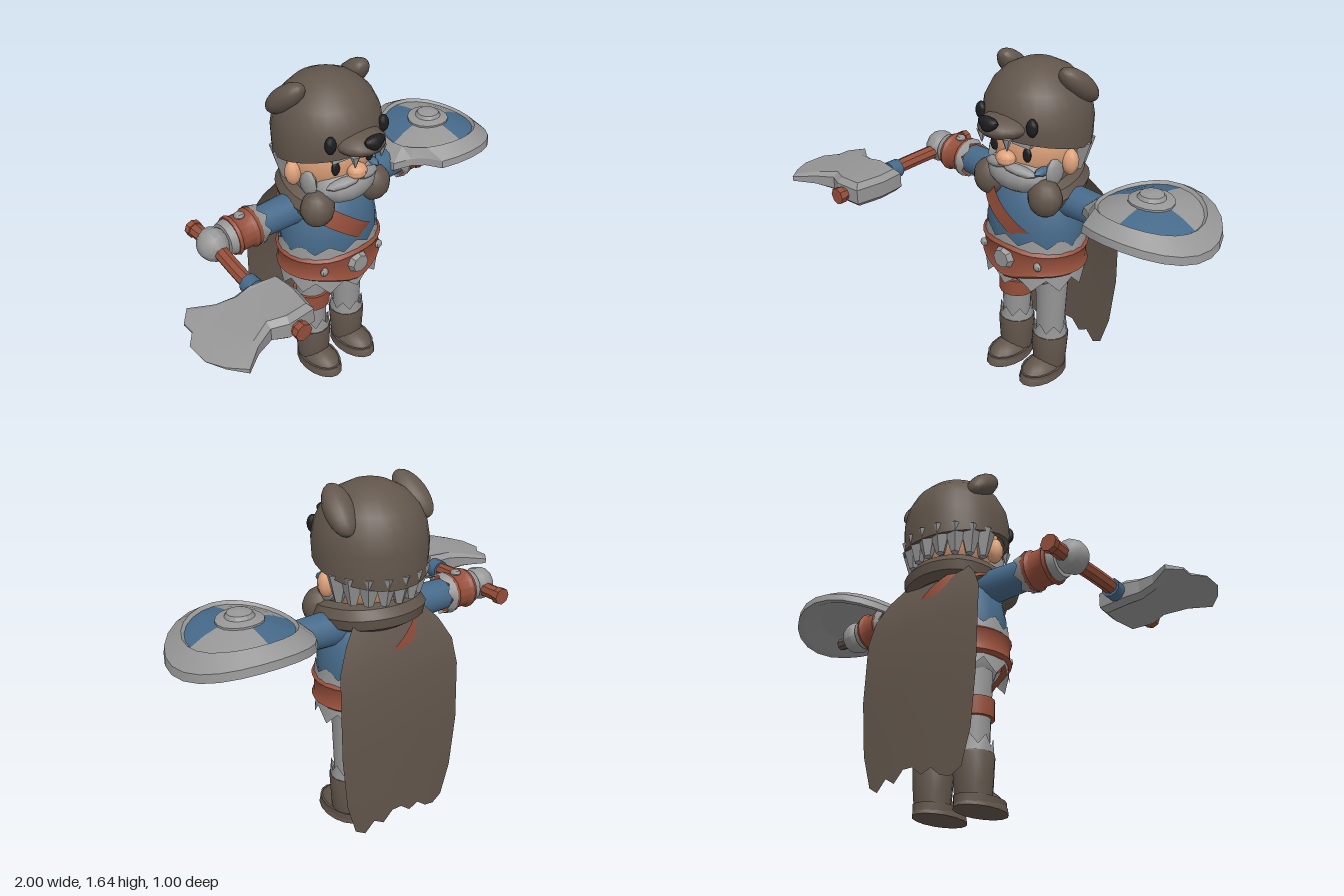
import * as THREE from 'three';
import { toCreasedNormals } from 'three/addons/utils/BufferGeometryUtils.js';

const mat = (name, color, side = THREE.FrontSide) =>
  Object.assign(new THREE.MeshStandardMaterial({ color, side }), { name });

export function createModel() {
  const root = new THREE.Group();
  root.name = 'axeWarrior';
  const brown = mat('furBrown', 0x62564c, THREE.DoubleSide);
  const grey = mat('grey', 0x979797, THREE.DoubleSide);
  const blue = mat('clothBlue', 0x466a8a);
  const red = mat('leather', 0x964f3b, THREE.DoubleSide);
  const skin = mat('skin', 0xdfa27b);
  const black = mat('black', 0x1d1d1f);
  const CX = 0.05, CZ = -0.2; // body axis

  const add = (name, geo, m, x = 0, y = 0, z = 0, parent = root, crease = 0.7) => {
    const mesh = new THREE.Mesh(toCreasedNormals(geo, crease), m);
    mesh.name = name;
    mesh.position.set(x, y, z);
    parent.add(mesh);
    return mesh;
  };
  const cyl = (a, b, h, n = 16, open = false) => new THREE.CylinderGeometry(a, b, h, n, 1, open);
  const ball = (rx, ry, rz, n = 16) => new THREE.SphereGeometry(1, n, Math.ceil(n * 0.7)).scale(rx, ry, rz);
  const lathe = (pts, n = 24, start = 0, len = Math.PI * 2) =>
    new THREE.LatheGeometry(pts.map(p => new THREE.Vector2(...p)), n, start, len);
  const warp = (geo, rule) => {
    const p = geo.attributes.position, v = new THREE.Vector3();
    for (let i = 0; i < p.count; i++) {
      rule(v.fromBufferAttribute(p, i), i);
      p.setXYZ(i, v.x, v.y, v.z);
    }
    return geo;
  };
  // ring of pointed cloth; the teeth hang down or stand up
  const zigzag = (rTop, rBottom, h, teeth, up = false) => {
    const row = teeth * 2 + 1;
    return warp(cyl(rTop, rBottom, h, teeth * 2, true), (v, i) => {
      const top = i < row;
      if (top === up && (i % row) % 2) v.y *= -0.05;
    });
  };

  // legs and boots
  for (const s of [-1, 1]) {
    const leg = new THREE.Group();
    leg.name = s < 0 ? 'rightLeg' : 'leftLeg';
    leg.position.set(CX + s * 0.113, 0, CZ);
    root.add(leg);
    add('trouser', cyl(0.083, 0.066, 0.42), grey, 0, 0.4, 0, leg);
    add('trouserCuff', zigzag(0.082, 0.088, 0.09, 7, true), grey, 0, 0.265, 0, leg);
    add('bootShaft', lathe([[0.08, 0.05], [0.085, 0.1], [0.092, 0.225], [0.09, 0.235], [0.06, 0.235]], 16), brown, 0, 0, 0, leg);
    const foot = warp(ball(0.092, 0.1, 0.15), v => { v.y = Math.max(v.y, 0); });
    add('bootFoot', foot, brown, 0, 0.0, 0.05, leg);
    add('bootSole', cyl(0.09, 0.088, 0.05).scale(1, 1, 1.6), brown, 0, 0.025, 0.045, leg);
    if (s < 0) add('thighStrap', cyl(0.092, 0.09, 0.085), red, 0, 0.435, 0, leg);
  }

  // torso, hem and belt
  add('pelvis', lathe([[0, 0.48], [0.1, 0.5], [0.17, 0.56], [0.21, 0.66], [0.2, 0.72]]).scale(1, 1, 0.85), grey, CX, 0, CZ);
  add('tunic', lathe([[0.23, 0.66], [0.25, 0.78], [0.25, 0.87], [0.23, 0.97], [0.19, 1.04], [0.12, 1.09], [0, 1.1]]).scale(1, 1, 0.8), blue, CX, 0, CZ);
  add('hemBelow', zigzag(0.25, 0.26, 0.12, 11).scale(1, 1, 0.84), grey, CX, 0.625, CZ);
  add('hemAbove', zigzag(0.255, 0.262, 0.08, 11, true).scale(1, 1, 0.83), grey, CX, 0.8, CZ);
  const belt = lathe([[0.22, 0.65], [0.255, 0.645], [0.272, 0.66], [0.262, 0.68], [0.262, 0.74], [0.272, 0.76], [0.255, 0.775], [0.22, 0.77]], 32);
  warp(belt, v => {
    const swell = v.z > 0 ? Math.exp(-Math.pow(v.x / 0.11, 2)) : 0;
    v.y += swell * (v.y < 0.71 ? -0.04 : 0.015);
    v.z *= 0.84;
  });
  add('belt', belt, red, CX, 0, CZ);
  add('buckle', cyl(0.045, 0.058, 0.03, 8).rotateX(Math.PI / 2), grey, CX, 0.715, 0.03);
  for (const s of [-1, 1]) add('beltStud', ball(0.022, 0.022, 0.015, 8), grey, CX + s * 0.17, 0.71, -0.022);
  const strap = add('chestStrap', cyl(0.258, 0.258, 0.085, 28, true).scale(1, 1, 0.82), red, CX - 0.02, 0.92, CZ);
  strap.rotation.z = -0.65;

  // arms, built outwards along local y
  for (const s of [-1, 1]) {
    const arm = new THREE.Group();
    arm.name = s < 0 ? 'rightArm' : 'leftArm';
    arm.position.set(CX, 1.01, CZ);
    arm.rotation.z = -s * Math.PI / 2;
    root.add(arm);
    add('sleeve', cyl(0.072, 0.082, 0.34), blue, 0, 0.25, 0, arm);
    add('sleeveTrim', zigzag(0.098, 0.088, 0.05, 7), grey, 0, 0.415, 0, arm);
    add('bracer', lathe([[0.06, 0.435], [0.092, 0.435], [0.095, 0.455], [0.084, 0.47], [0.084, 0.53], [0.095, 0.545], [0.09, 0.56], [0.05, 0.56]], 16), red, 0, 0, 0, arm);
    add('gloveCuff', cyl(0.075, 0.085, 0.04), grey, 0, 0.575, 0, arm);
    add('fist', ball(0.08, 0.072, 0.08, 10), grey, 0, 0.645, 0, arm);
    add('bracerStud', ball(0.018, 0.025, 0.025, 8), grey, -s * 0.086, 0.5, 0, arm);
  }

  // axe
  const axe = new THREE.Group();
  axe.name = 'axe';
  root.add(axe);
  const path = new THREE.CatmullRomCurve3([[-0.59, 1.0, -0.37], [-0.59, 1.0, -0.2], [-0.61, 0.985, 0.05], [-0.61, 0.97, 0.25], [-0.61, 0.965, 0.45]].map(p => new THREE.Vector3(...p)));
  add('handle', new THREE.TubeGeometry(path, 10, 0.034, 8), red, 0, 0, 0, axe);
  for (const [z, y, x] of [[-0.36, 1, -0.59], [0.445, 0.965, -0.61]])
    add('handleCap', cyl(0.04, 0.04, 0.03, 8).rotateX(Math.PI / 2), red, x, y, z, axe);
  add('binding', cyl(0.045, 0.045, 0.06, 10).rotateX(Math.PI / 2), blue, -0.61, 0.98, 0.11, axe);
  const edge = [[-0.895, 0.055], [-0.8, 0.12], [-0.72, 0.14], [-0.65, 0.13], [-0.51, 0.15], [-0.5, 0.27], [-0.52, 0.41],
    [-0.65, 0.42], [-0.72, 0.39], [-0.81, 0.43], [-0.9, 0.5], [-0.96, 0.43], [-1, 0.35], [-1, 0.24], [-0.95, 0.18], [-0.95, 0.12]];
  const blade = new THREE.ExtrudeGeometry(new THREE.Shape(edge.map(p => new THREE.Vector2(...p))),
    { depth: 0.07, bevelThickness: 0.025, bevelSize: 0.025, bevelOffset: -0.025, bevelSegments: 1 });
  blade.translate(0, 0, -0.035).rotateX(Math.PI / 2);
  warp(blade, v => { v.y *= THREE.MathUtils.clamp((v.x + 1) / 0.33, 0.02, 1); });
  add('blade', blade, grey, 0, 0.972, 0, axe, 0.3);

  // shield, bowed over the forearm
  const shield = new THREE.Group();
  shield.name = 'shield';
  shield.position.set(0.69, 1.11, -0.195);
  root.add(shield);
  const bend = geo => warp(geo, v => {
    if (v.x < -0.17 && v.z > 0.13 && Math.hypot(v.x, v.z) > 0.26) { v.x *= 0.86; v.z *= 0.86; }
    v.y -= 0.7 * v.x * v.x;
  });
  add('shieldRim', bend(lathe([[0, 0.03], [0.2, 0.0], [0.285, -0.035], [0.31, -0.03], [0.305, 0.005], [0.235, 0.045], [0.222, 0.03]])), grey, 0, 0, 0, shield, 0.3);
  for (let i = 0; i < 4; i++)
    add('shieldQuarter', bend(lathe([[0.226, 0.03], [0.16, 0.047], [0.09, 0.058]], 6, i * Math.PI / 2, Math.PI / 2)), i % 2 ? grey : blue, 0, 0, 0, shield, 0.3);
  add('shieldBoss', bend(lathe([[0.1, 0.045], [0.1, 0.065], [0.062, 0.074], [0.052, 0.09], [0, 0.1]], 16)), grey, 0, 0, 0, shield, 0.3);
  add('shieldGrip', cyl(0.03, 0.03, 0.2, 8).rotateZ(Math.PI / 2), brown, 0.03, -0.1, 0, shield);

  // head and face
  add('head', ball(0.21, 0.22, 0.2, 20), skin, CX, 1.27, CZ);
  add('nose', ball(0.05, 0.038, 0.045, 10), skin, CX, 1.225, 0.01);
  add('beard', ball(0.165, 0.095, 0.125, 14), grey, CX, 1.135, -0.085);
  add('cheekPaint', ball(0.025, 0.022, 0.07, 8), blue, CX + 0.15, 1.18, -0.08);
  for (const s of [-1, 1]) {
    add('ear', ball(0.04, 0.062, 0.04, 10), skin, CX + s * 0.212, 1.21, CZ + 0.02);
    add('eye', ball(0.022, 0.035, 0.014, 10), black, CX + s * 0.098, 1.258, -0.02);
    add('moustache', ball(0.085, 0.024, 0.03, 8), grey, CX + s * 0.07, 1.182, 0.0).rotation.set(0, s * 0.35, -s * 0.2);
    add('brow', new THREE.BoxGeometry(0.085, 0.04, 0.04), grey, CX + s * 0.085, 1.325, -0.01).rotation.set(0, s * 0.3, -s * 0.2);
    add('sideburn', ball(0.025, 0.07, 0.06, 8), grey, CX + s * 0.175, 1.17, -0.12);
  }
  for (let i = 0; i < 9; i++) { // locks of hair round the nape
    const a = Math.PI + (i - 4) * 0.33;
    const lock = add('hairLock', cyl(0.058, 0.02, 0.13, 5), grey, CX + Math.sin(a) * 0.205, 1.215, CZ + Math.cos(a) * 0.205);
    lock.rotation.y = a;
  }

  // bear hood
  const hood = lathe([[0.19, 1.37], [0.225, 1.28], [0.25, 1.28], [0.254, 1.38], [0.24, 1.46], [0.205, 1.53], [0.15, 1.585], [0.08, 1.62], [0, 1.632]], 28);
  warp(hood, v => { if (v.y < 1.3) v.y += v.z * 0.22; });
  add('hood', hood, brown, CX, 0, CZ);
  add('hoodSnout', ball(0.12, 0.055, 0.12, 14), brown, CX, 1.388, 0.02);
  add('hoodNose', warp(ball(0.05, 0.036, 0.03, 12), v => { v.x *= 1 + v.y * 12; }), black, CX, 1.42, 0.122);
  for (const s of [-1, 1]) {
    const ear = add('hoodEar', ball(0.068, 0.125, 0.055), brown, CX + s * 0.19, 1.545, -0.245);
    ear.rotation.set(0.85, 0, s * 0.15);
    add('hoodEye', ball(0.027, 0.042, 0.025, 10), black, CX + s * 0.15, 1.41, 0.01);
    add('hoodFang', cyl(0.024, 0.002, 0.06, 6), grey, CX + s * 0.075, 1.335, 0.085);
  }

  // fur collar and cape
  const ring = new THREE.CatmullRomCurve3([[-0.15, 1.03, 0.12], [-0.19, 1.06, 0.02], [-0.14, 1.08, -0.12], [0, 1.085, -0.17],
    [0.14, 1.08, -0.12], [0.19, 1.06, 0.02], [0.15, 1.03, 0.12]].map(p => new THREE.Vector3(...p)));
  add('furCollar', new THREE.TubeGeometry(ring, 24, 0.062, 8), brown, CX, 0, CZ);
  for (const s of [-1, 1]) add('furTuft', ball(0.083, 0.09, 0.075, 12), brown, CX + s * 0.168, 1.055, -0.065);
  const hem = [0.1, 0.07, 0.08, 0.12, 0.1, 0.14, 0.14, 0.09, 0.12, 0.07, 0.1];
  const rows = [[1.09, 0.17, -0.33], [1.0, 0.25, -0.375], [0.9, 0.305, -0.41], [0.78, 0.32, -0.435], [0.5, 0.32, -0.445], [0.25, 0.295, -0.445], [0, 0.25, -0.445]];
  const cape = warp(new THREE.PlaneGeometry(2, 1, 10, 6), (v, i) => {
    const [y, w, z] = rows[Math.floor(i / 11)], u = v.x;
    v.set(CX + u * w, Math.max(y, 0) || hem[i % 11], z - 0.012 * (1 - u * u));
  });
  add('cape', cape, brown);
  return root;
}
